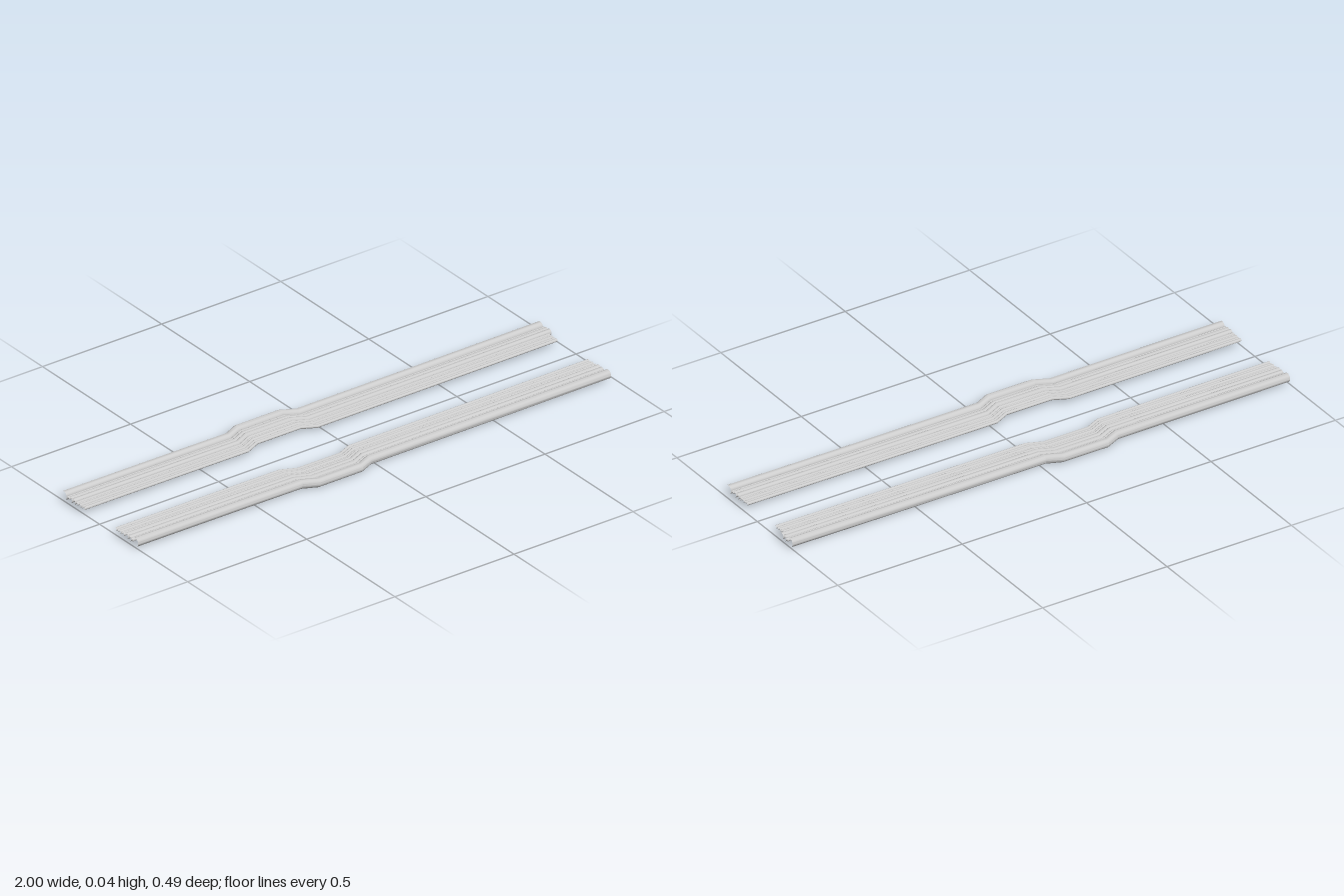
import * as THREE from 'three';
import { toCreasedNormals } from 'three/addons/utils/BufferGeometryUtils.js';

// Pipes of one bundle, outermost first: [z, radius, height of centre, name]
const PIPES = [
  [0.203, 0.0165, 0.021, 'mainPipe'],
  [0.181, 0.007, 0.021, 'linkPipe'],
  [0.167, 0.0115, 0.02, 'mediumPipe'],
  [0.15, 0.0115, 0.021, 'mediumPipe'],
  [0.133, 0.007, 0.021, 'smallPipe'],
  [0.124, 0.004, 0.022, 'thinPipe'],
  [0.114, 0.007, 0.021, 'smallPipe'],
  [0.102, 0.005, 0.021, 'thinPipe'],
  [0.09, 0.006, 0.021, 'smallPipe'],
];

// Path along x: [x, sideways detour, small rise]
const PATH = [
  [-1, 0, 0.0025], [-0.5, 0, 0.001], [-0.31, 0, 0], [-0.255, 0.026, 0],
  [-0.075, 0.026, 0], [-0.02, 0, -0.0015], [0.48, 0, -0.001], [0.985, 0, 0.001],
];

const material = new THREE.MeshStandardMaterial({ color: 0xcccccc });

// Open tube whose rings follow the path, with sharp mitred bends
function makePipe(z, radius, height, side, endX, name) {
  const geometry = new THREE.CylinderGeometry(radius, radius, 1, 16, PATH.length - 1, true);
  geometry.rotateZ(Math.PI / 2);
  const pos = geometry.attributes.position;
  for (let i = 0; i < pos.count; i++) {
    const ring = Math.round((pos.getX(i) + 0.5) * (PATH.length - 1));
    const [x, detour, rise] = PATH[ring];
    pos.setXYZ(
      i,
      ring === PATH.length - 1 ? endX : x,
      pos.getY(i) + height + rise,
      pos.getZ(i) + side * (z + detour),
    );
  }
  const mesh = new THREE.Mesh(toCreasedNormals(geometry, 0.45), material);
  mesh.name = name;
  return mesh;
}

export function createModel() {
  const model = new THREE.Group();
  model.name = 'pipelines';
  for (const side of [1, -1]) {
    const bundle = new THREE.Group();
    bundle.name = side > 0 ? 'frontBundle' : 'backBundle';
    PIPES.forEach(([z, radius, height, name], i) => {
      // The outer pipes of the back bundle run a little longer
      const endX = side < 0 && i < 4 ? 1 : 0.985;
      bundle.add(makePipe(z, radius, height, side, endX, name));
    });
    model.add(bundle);
  }
  return model;
}
